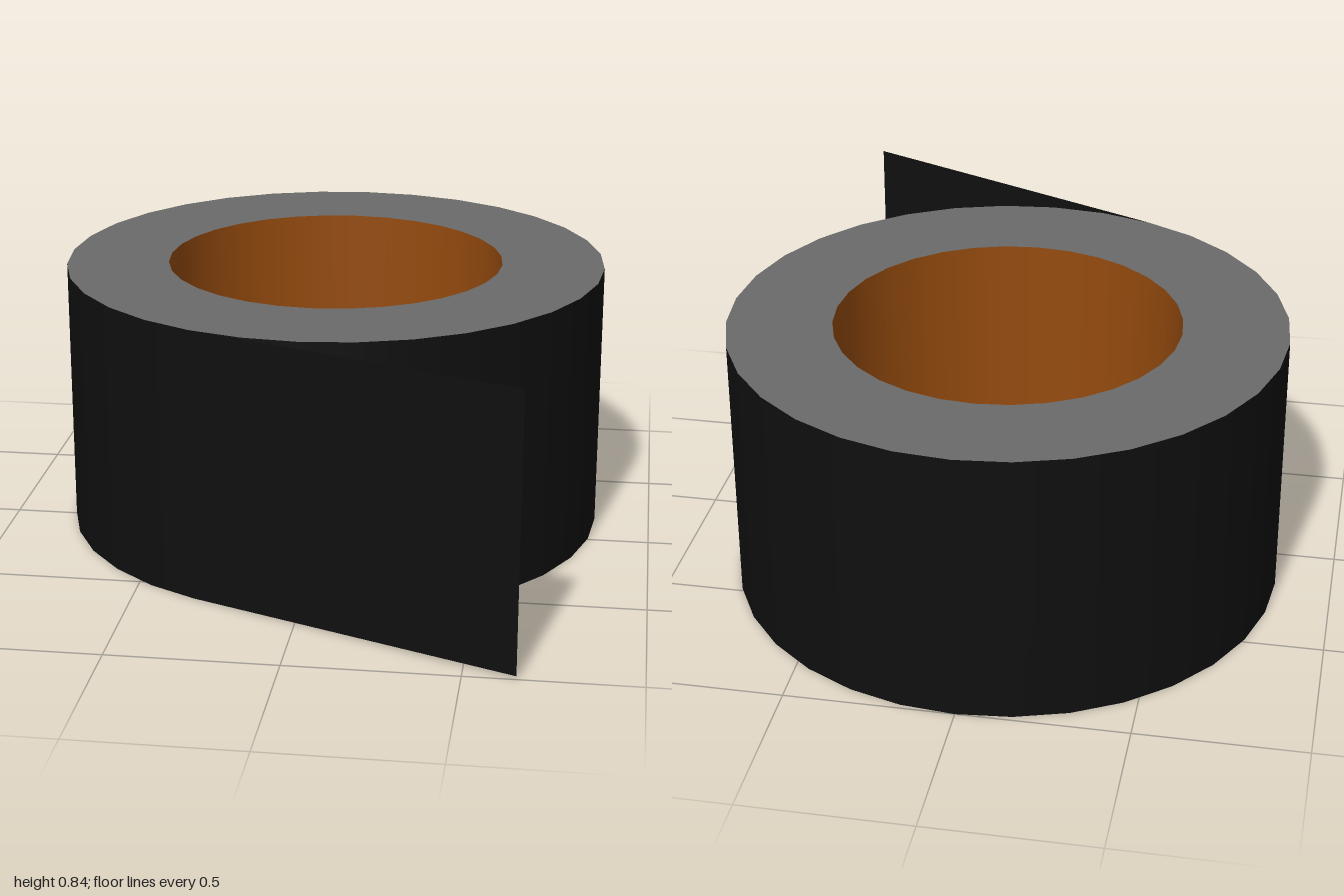
import * as THREE from 'three';

const SEGMENTS = 32, OUTER = 0.83, INNER = 0.517, HEIGHT = 0.827, CENTRE_Z = -0.17;

function material(name, color, side = THREE.FrontSide) {
  const m = new THREE.MeshStandardMaterial({ color, side });
  m.name = name;
  return m;
}

export function createModel() {
  const group = new THREE.Group();
  group.name = 'tapeRoll';
  const black = material('black tape', 0x0f0f0f, THREE.DoubleSide);
  const grey = material('grey tape edge', 0x6a6a6a);
  const brown = material('brown cardboard', 0x954b0e, THREE.DoubleSide);

  const add = (name, geometry, mat, y) => {
    const mesh = new THREE.Mesh(geometry, mat);
    mesh.name = name;
    mesh.position.set(0, y, CENTRE_Z);
    group.add(mesh);
  };

  // Outer winding and inner core
  const tube = (r) => new THREE.CylinderGeometry(r, r, HEIGHT, SEGMENTS, 1, true);
  add('outerWinding', tube(OUTER), black, HEIGHT / 2);
  add('innerCore', tube(INNER), brown, HEIGHT / 2);

  // Flat wound edges, above and below
  for (const [name, y, turn] of [['topEdge', HEIGHT, -1], ['bottomEdge', 0, 1]]) {
    const ring = new THREE.RingGeometry(INNER, OUTER, SEGMENTS).rotateX(turn * Math.PI / 2);
    add(name, ring, grey, y);
  }

  // Loose end leaving the roll along a tangent and rising slightly
  const angle = Math.PI * 0.625;
  const start = [OUTER * Math.cos(angle), OUTER * Math.sin(angle)];
  const end = [0.65, 1 - CENTRE_Z];
  const flap = new THREE.PlaneGeometry(1, HEIGHT);
  const p = flap.attributes.position;
  for (let i = 0; i < p.count; i++) {
    const t = p.getX(i) + 0.5;
    p.setXYZ(i,
      THREE.MathUtils.lerp(start[0], end[0], t),
      p.getY(i) + 0.01 * t,
      THREE.MathUtils.lerp(start[1], end[1], t));
  }
  flap.computeVertexNormals();
  add('looseEnd', flap, black, HEIGHT / 2);

  return group;
}
